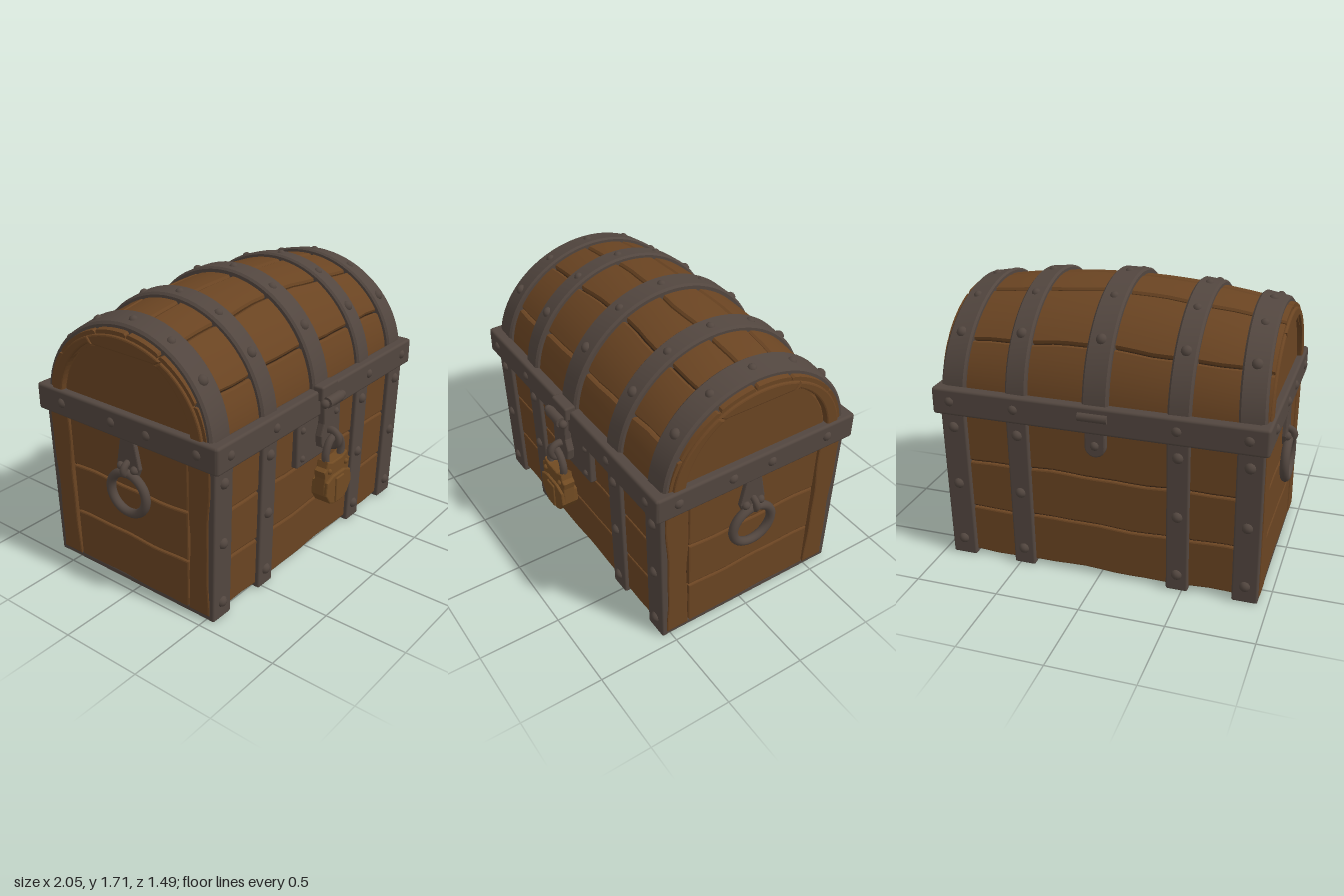
import * as THREE from 'three';
import { toCreasedNormals } from 'three/addons/utils/BufferGeometryUtils.js';
import { RoundedBoxGeometry } from 'three/addons/geometries/RoundedBoxGeometry.js';

const ZC = -0.05, LID_Y = 1.05; // chest centre line and lid spring line

export function createModel() {
  const mat = (name, color) => {
    const m = new THREE.MeshStandardMaterial({ color });
    m.name = name;
    return m;
  };
  const wood = mat('wood', 0x6a4422), metal = mat('iron', 0x52463f);
  const gap = mat('dark gap', 0x2a1b0f), brass = mat('lock bronze', 0x704a22);

  const model = new THREE.Group();
  model.name = 'treasureChest';
  const add = (name, geo, m) => {
    const mesh = new THREE.Mesh(geo, m);
    mesh.name = name;
    model.add(mesh);
    return mesh;
  };

  // Lower chest narrows slightly in depth toward the floor
  const taper = (geo) => {
    const p = geo.attributes.position;
    for (let i = 0; i < p.count; i++) {
      p.setZ(i, ZC + (p.getZ(i) - ZC) * (0.955 + 0.045 * Math.min(1, p.getY(i))));
    }
    return geo;
  };
  // Rounded box given by its limits
  const box = (x0, x1, y0, y1, z0, z1, r = 0.012) =>
    new RoundedBoxGeometry(x1 - x0, y1 - y0, z1 - z0, 2, r)
      .translate((x0 + x1) / 2, (y0 + y1) / 2, (z0 + z1) / 2);
  const rivet = (x, y, z, r = 0.032) =>
    add('rivet', new THREE.SphereGeometry(r, 12, 8).translate(x, y, z), metal);

  // Bevelled plank with wavy long edges, lying in the XY plane
  const wave = (u, v) => 0.006 * Math.sin(u * 7 + v * 19) + 0.003 * Math.sin(u * 17 + v * 5);
  const plank = (u0, u1, v0, v1, depth) => {
    const g = 0.005, n = 20, pts = [];
    for (let i = 0; i <= n; i++) {
      const u = u0 + g + (u1 - u0 - 2 * g) * i / n;
      pts.push(new THREE.Vector2(u, v0 + g + wave(u, v0)));
    }
    for (let i = n; i >= 0; i--) {
      const u = u0 + g + (u1 - u0 - 2 * g) * i / n;
      pts.push(new THREE.Vector2(u, v1 - g + wave(u, v1)));
    }
    const b = 0.01;
    return new THREE.ExtrudeGeometry(new THREE.Shape(pts), {
      depth: depth - 2 * b, bevelThickness: b, bevelSize: b, bevelOffset: -b, bevelSegments: 2,
    }).translate(0, 0, b - depth / 2);
  };

  // Skin through rings; each ring runs counter-clockwise seen from the start
  const loft = (rings) => {
    const n = rings[0].length, last = (rings.length - 1) * n, idx = [];
    for (let i = 0; i < rings.length - 1; i++) {
      for (let j = 0; j < n; j++) {
        const a = i * n + j, b = i * n + (j + 1) % n;
        idx.push(a, a + n, b, b, a + n, b + n);
      }
    }
    for (let k = 1; k < n - 1; k++) idx.push(0, k, k + 1, last, last + k + 1, last + k);
    const geo = new THREE.BufferGeometry();
    geo.setAttribute('position', new THREE.Float32BufferAttribute(rings.flat(2), 3));
    geo.setIndex(idx);
    return toCreasedNormals(geo, 0.5);
  };

  // Barrel surface of the lid: angle runs from front over the top to the back
  const lidPoint = (x, a, scale = 1, t = 0) => [
    x,
    LID_Y + ((0.615 - 0.115 * x * x) * scale + t) * Math.sin(a),
    ZC + ((0.61 - 0.035 * x * x) * scale + t) * Math.cos(a),
  ];
  const lidPiece = (a0, a1, inner, outer, xEnd) => {
    const rings = [];
    for (let i = 0; i <= 20; i++) {
      const x = -xEnd + 2 * xEnd * i / 20;
      const b0 = a0 + (a0 > 0.1 ? 0.008 + 2 * wave(x, a0) : 0);
      const b1 = a1 - (a1 < 3 ? 0.008 - 2 * wave(x, a1) : 0);
      const ring = [lidPoint(x, b0, inner), lidPoint(x, b0, outer - 0.02)];
      for (let k = 0; k <= 8; k++) {
        ring.push(lidPoint(x, b0 + 0.02 + (b1 - b0 - 0.04) * k / 8, outer));
      }
      ring.push(lidPoint(x, b1, outer - 0.02), lidPoint(x, b1, inner));
      rings.push(ring);
    }
    return loft(rings);
  };

  // Lower chest: dark core with planks around it
  add('chestCore', taper(box(-0.915, 0.915, 0.05, 1.0, ZC - 0.585, ZC + 0.585)), gap);
  const rows = [0.025, 0.335, 0.645, 0.99];
  for (let i = 0; i < 3; i++) {
    for (const s of [1, -1]) {
      add(s > 0 ? 'frontPlank' : 'backPlank',
        taper(plank(-0.94, 0.94, rows[i], rows[i + 1], 0.06).translate(0, 0, ZC + s * 0.575)), wood);
      add('sidePlank',
        taper(plank(-0.45, 0.45, rows[i], rows[i + 1], 0.05).rotateY(Math.PI / 2).translate(s * 0.915, 0, ZC)), wood);
    }
  }
  for (const s of [1, -1]) {
    for (const e of [1, -1]) {
      add('sideCornerPlank', taper(plank(0.03, 0.99, -0.075, 0.075, 0.055)
        .rotateZ(Math.PI / 2).rotateY(Math.PI / 2).translate(s * 0.92, 0, ZC + e * 0.525)), wood);
    }
  }
  for (let i = 0; i < 4; i++) {
    add('floorPlank', taper(plank(-0.93, 0.93, -0.58 + i * 0.29, -0.29 + i * 0.29, 0.05)
      .rotateX(Math.PI / 2).translate(0, 0.05, ZC)), wood);
  }

  // Lid: dark core, six curved planks, arched end frames
  add('lidCore', lidPiece(0, Math.PI, 0, 0.955, 0.89), gap);
  const seams = [0, 28, 61, 86, 110, 146, 180].map(THREE.MathUtils.degToRad);
  for (let i = 0; i < 6; i++) add('lidPlank', lidPiece(seams[i], seams[i + 1], 0.88, 1, 0.94), wood);

  const innerArch = (a) => new THREE.Vector2(0.48 * Math.cos(a), LID_Y + Math.min(0.4, 0.46 * Math.sin(a)));
  const outerArch = (a) => new THREE.Vector2(0.558 * Math.cos(a), LID_Y + 0.49 * Math.sin(a));
  const arc = (f, a0, a1) => Array.from({ length: 17 }, (_, i) => f(a0 + (a1 - a0) * i / 16));
  const endPlate = (pts, depth, x) => new THREE.ExtrudeGeometry(new THREE.Shape(pts), {
    depth: depth - 0.02, bevelThickness: 0.01, bevelSize: 0.01, bevelOffset: -0.01, bevelSegments: 2,
  }).translate(0, 0, 0.01 - depth / 2).rotateY(Math.PI / 2).translate(x, 0, ZC);
  for (const s of [1, -1]) {
    add('lidEndPanel', endPlate(arc(innerArch, 0, Math.PI), 0.05, s * 0.9), wood);
    for (const [a0, a1] of [[0, 1.12], [1.13, 2.1], [2.11, Math.PI]]) {
      add('lidEndFrame', endPlate([...arc(outerArch, a0, a1), ...arc(innerArch, a1, a0)], 0.07, s * 0.92), wood);
    }
  }

  // Iron straps over the lid with rivets
  for (const [xc, hw] of [[-0.865, 0.075], [-0.47, 0.065], [0, 0.075], [0.47, 0.065], [0.865, 0.075]]) {
    const drift = Math.abs(xc) > 0.8 ? -0.03 * Math.sign(xc) : 0;
    const t = xc === 0 ? 0.032 : 0.028;
    const rings = [];
    for (let i = 0; i <= 36; i++) {
      const a = Math.PI * i / 36, x = xc + drift * Math.sin(a);
      rings.push([[-hw, -0.03], [hw, -0.03], [hw, t - 0.012], [hw - 0.012, t], [0.012 - hw, t], [-hw, t - 0.012]]
        .map(([dx, r]) => lidPoint(x + dx, a, 1, r)));
    }
    add('lidStrap', loft(rings), metal);
    for (const deg of [38, 64, 90, 116, 142]) {
      const a = THREE.MathUtils.degToRad(deg);
      rivet(...lidPoint(xc + drift * Math.sin(a), a, 1, t - 0.012), deg === 38 || deg === 142 ? 0.033 : 0.027);
    }
  }

  // Iron straps around the lower chest: front, back and underneath
  for (const [xc, hw] of [[-0.865, 0.075], [-0.47, 0.065], [0.47, 0.065], [0.865, 0.075]]) {
    const x0 = xc - hw, x1 = xc + hw;
    add('floorStrap', taper(box(x0, x1, 0.003, 0.05, ZC - 0.632, ZC + 0.632, 0.015)), metal);
    for (const s of [1, -1]) {
      const z = ZC + s * 0.607;
      add('wallStrap', taper(box(x0, x1, 0.003, 0.98, z - 0.025, z + 0.025)), metal);
      for (const y of [0.11, 0.49, 0.86]) {
        rivet(xc, y, ZC + s * (0.622 * (0.955 + 0.045 * y)), 0.034);
      }
    }
  }

  // Iron rim between chest and lid
  for (const s of [1, -1]) {
    const z = ZC + s * 0.635, x = s * 0.935;
    add('rimLong', box(-0.968, 0.968, 0.95, 1.11, z - 0.035, z + 0.035, 0.016), metal);
    add('rimEnd', box(x - 0.035, x + 0.035, 0.95, 1.11, ZC - 0.665, ZC + 0.665, 0.016), metal);
    for (const rx of [-0.86, -0.47, 0.47, 0.86]) rivet(rx, 1.035, ZC + s * 0.655);
    for (const rz of [-0.47, -0.08, 0.18, 0.53]) rivet(s * 0.953, 1.035, ZC + rz, 0.034);
  }

  // Lock plate, hinged hasp and staple
  add('lockPlate', box(-0.22, 0.22, 0.66, 0.945, 0.53, 0.585), metal);
  for (const x of [-0.17, 0.17]) for (const y of [0.71, 0.89]) rivet(x, y, 0.58, 0.022);
  add('haspLeaf', box(-0.08, 0.08, 1.05, 1.14, 0.58, 0.65), metal);
  add('haspBarrel', new THREE.CylinderGeometry(0.032, 0.032, 0.13, 16).rotateZ(Math.PI / 2).translate(0, 1.05, 0.67), metal);
  for (const x of [-0.085, 0.085]) rivet(x, 1.05, 0.67, 0.026);
  const haspShape = new THREE.Shape([[-0.055, 1.04], [-0.05, 0.9], [-0.075, 0.83], [-0.065, 0.76], [0, 0.73],
    [0.065, 0.76], [0.075, 0.83], [0.05, 0.9], [0.055, 1.04]].map(([x, y]) => new THREE.Vector2(x, y)));
  const bevel = { bevelThickness: 0.008, bevelSize: 0.008, bevelOffset: -0.008, bevelSegments: 2 };
  add('hasp', new THREE.ExtrudeGeometry(haspShape, { depth: 0.03, ...bevel }).translate(0, 0, 0.61), metal);
  add('staple', new THREE.TorusGeometry(0.05, 0.022, 10, 24).rotateY(Math.PI / 2).translate(0, 0.805, 0.665), metal);

  // Padlock
  const shackle = new THREE.CatmullRomCurve3([[-0.075, 0.66], [-0.08, 0.74], [-0.045, 0.805], [0, 0.82],
    [0.045, 0.805], [0.08, 0.74], [0.075, 0.66]].map(([x, y]) => new THREE.Vector3(x, y, 0.685)));
  add('shackle', new THREE.TubeGeometry(shackle, 28, 0.023, 10), metal);
  const half = [[0.05, 0.41], [0.09, 0.43], [0.13, 0.49], [0.125, 0.6], [0.135, 0.645], [0.11, 0.66], [0.1, 0.7], [0.05, 0.68]];
  const outline = (list) => new THREE.Shape([...list, ...list.map(([x, y]) => [-x, y]).reverse()]
    .map(([x, y]) => new THREE.Vector2(x, y)));
  add('padlockBody', new THREE.ExtrudeGeometry(outline(half), { depth: 0.06, ...bevel }).translate(0, 0, 0.65), brass);
  add('padlockFace', new THREE.ExtrudeGeometry(outline([...half.slice(0, 3), [0.122, 0.575], [0.06, 0.6]]),
    { depth: 0.095, ...bevel }).translate(0, 0, 0.632), brass);
  add('keyholeCover', box(-0.042, 0.042, 0.42, 0.58, 0.72, 0.745, 0.008), brass);
  for (const x of [-0.085, 0.085]) add('padlockStud', new THREE.SphereGeometry(0.018, 10, 8).translate(x, 0.635, 0.716), brass);

  // Back hinge
  add('hingeBarrel', new THREE.CylinderGeometry(0.026, 0.026, 0.17, 14).rotateZ(Math.PI / 2).translate(0, 1.05, -0.715), metal);
  const tongue = new THREE.Shape();
  tongue.moveTo(-0.06, 0.98).lineTo(-0.06, 0.86).absarc(0, 0.86, 0.06, Math.PI, Math.PI * 2, false).lineTo(0.06, 0.98);
  add('hingeTongue', new THREE.ExtrudeGeometry(tongue, { depth: 0.03, ...bevel }).translate(0, 0, -0.685), metal);
  rivet(0, 0.87, -0.685, 0.028);

  // Ring handles on both ends
  const mount = new THREE.Shape([[-0.05, 0.97], [-0.085, 0.8], [-0.06, 0.74], [0, 0.72], [0.06, 0.74], [0.085, 0.8], [0.05, 0.97]]
    .map(([x, y]) => new THREE.Vector2(x, y)));
  for (const s of [1, -1]) {
    add('handleMount', new THREE.ExtrudeGeometry(mount, { depth: 0.03, ...bevel })
      .translate(0, 0, -0.015).rotateY(Math.PI / 2).translate(s * 0.942, 0, -0.02), metal);
    add('handleRing', new THREE.TorusGeometry(0.127, 0.027, 12, 36).rotateY(Math.PI / 2)
      .scale(1, 0.97, 1.04).translate(s * 0.972, 0.635, -0.02), metal);
    add('handleLoop', new THREE.TorusGeometry(0.038, 0.02, 10, 20).scale(1.2, 1, 1).translate(s * 0.953, 0.785, -0.02), metal);
    for (const z of [-0.07, 0.03]) rivet(s * 0.965, 0.79, z, 0.026);
  }
  return model;
}
